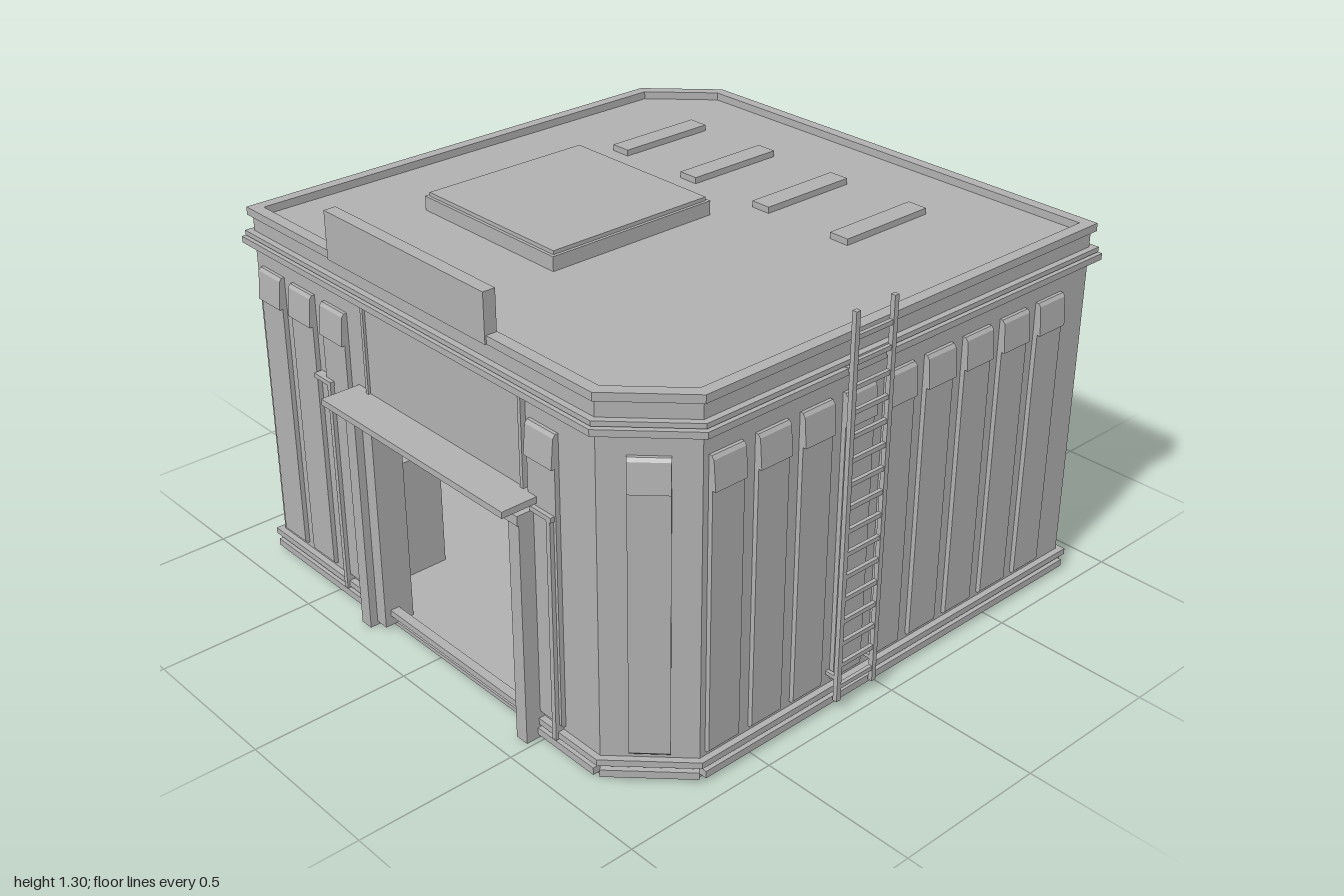
import * as THREE from 'three';

const grey = new THREE.MeshStandardMaterial({ color: 0xb0b0b0 });
grey.name = 'concrete grey';

// footprint limits and corner cut
const X0 = -0.83, X1 = 0.91, Z0 = -0.87, Z1 = 0.865, CUT = 0.19;

function add(parent, geometry, name) {
  const m = new THREE.Mesh(geometry, grey);
  m.name = name;
  parent.add(m);
  return m;
}

// box given by its limits
function box(parent, name, x0, x1, y0, y1, z0, z1) {
  const m = add(parent, new THREE.BoxGeometry(x1 - x0, y1 - y0, z1 - z0), name);
  m.position.set((x0 + x1) / 2, (y0 + y1) / 2, (z0 + z1) / 2);
  return m;
}

const poly = pts => pts.map(p => new THREE.Vector2(p[0], p[1]));

// footprint with two cut corners, grown by d
function outline(d) {
  const a = X0 - d, b = X1 + d, c = Z0 - d, e = Z1 + d, k = CUT + 0.586 * d;
  return poly([[a + k, c], [b, c], [b, e - k], [b - k, e], [a, e], [a, c + k]]);
}

// slab, or ring when inner is given, following the footprint
function layer(parent, name, y0, y1, outer, inner) {
  const s = new THREE.Shape(outline(outer));
  if (inner !== undefined) s.holes.push(new THREE.Path(outline(inner).reverse()));
  const g = new THREE.ExtrudeGeometry(s, { depth: y1 - y0, bevelEnabled: false });
  g.rotateX(Math.PI / 2);
  add(parent, g, name).position.y = y1;
}

// wall frame: local x runs along the wall, local z points outward
function wallGroup(parent, name, angle, x, z) {
  const g = new THREE.Group();
  g.name = name;
  g.rotation.y = angle;
  g.position.set(x, 0, z);
  parent.add(g);
  return g;
}

// wall sheet, notched for a doorway when door = [u0, u1, top]
function wall(g, u0, u1, door) {
  const p = [[u0, 0.01]];
  if (door) p.push([door[0], 0.01], [door[0], door[2]], [door[1], door[2]], [door[1], 0.01]);
  p.push([u1, 0.01], [u1, 1.12], [u0, 1.12]);
  const geo = new THREE.ExtrudeGeometry(new THREE.Shape(poly(p)), { depth: 0.05, bevelEnabled: false });
  add(g, geo, 'wall').position.z = -0.05;
  const runs = door ? [[u0, door[0]], [door[1], u1]] : [[u0, u1]];
  for (const r of runs) box(g, 'skirting', r[0], r[1], 0.012, 0.035, -0.01, 0.025);
}

// raised cladding panel with a sloped hood at its top
function panel(g, u, w = 0.113) {
  const s = new THREE.Shape(poly([[-0.005, 0.08], [0.008, 0.08], [0.015, 0.088], [0.015, 0.9],
    [0.026, 0.9], [0.018, 0.99], [0.01, 1.0], [-0.005, 1.0]]));
  const geo = new THREE.ExtrudeGeometry(s, { depth: w, bevelEnabled: false });
  geo.rotateY(-Math.PI / 2);
  add(g, geo, 'claddingPanel').position.set(u + w / 2, 0, 0);
}

// door surround: posts, lintel, canopy and edge trims
function doorway(g) {
  for (const [a, b] of [[-0.31, -0.265], [0.44, 0.485]]) box(g, 'doorPost', a, b, 0.0, 0.74, -0.06, 0.065);
  box(g, 'doorJamb', -0.265, -0.22, 0.012, 0.7, -0.06, 0.04);
  box(g, 'lintel', -0.31, 0.485, 0.71, 0.74, -0.05, 0.07);
  box(g, 'lintelUnderside', -0.265, 0.44, 0.685, 0.71, -0.06, 0.045);
  box(g, 'canopy', -0.325, 0.5, 0.765, 0.785, 0, 0.13);
  box(g, 'canopyBacking', -0.28, 0.455, 0.74, 0.765, 0, 0.04);
}

export function createModel() {
  const model = new THREE.Group();
  model.name = 'building';

  // floor, base rail, cornice and parapet
  layer(model, 'floor', 0, 0.013, 0);
  layer(model, 'baseRail', 0.045, 0.065, 0.02, -0.01);
  layer(model, 'corniceLower', 1.065, 1.085, 0.028, -0.03);
  layer(model, 'corniceUpper', 1.09, 1.105, 0.02, -0.03);
  layer(model, 'roofSlab', 1.08, 1.155, 0);
  layer(model, 'parapet', 1.155, 1.18, 0.012, -0.025);

  // front wall
  const front = wallGroup(model, 'frontWall', 0, 0, Z1);
  wall(front, X0, X1 - CUT, [-0.22, 0.44, 0.69]);
  doorway(front);
  for (const u of [-0.742, -0.582, -0.418, 0.521]) panel(front, u);
  box(front, 'headerPlate', -0.262, 0.44, 0.785, 1.07, 0, 0.008);
  for (const u of [-0.262, 0.44]) box(front, 'headerRib', u - 0.006, u + 0.006, 0.785, 1.07, 0, 0.016);
  for (const [a, b, v] of [[-0.52, -0.435, -0.445], [0.485, 0.572, 0.56]]) {
    box(front, 'conduitArm', a, b, 0.742, 0.757, 0, 0.028);
    box(front, 'conduit', v - 0.008, v + 0.008, 0.04, 0.757, 0, 0.028);
  }

  // left-hand wall on the -x side
  const side = wallGroup(model, 'doorSideWall', -Math.PI / 2, X0, 0);
  wall(side, Z0 + CUT, Z1, [-0.22, 0.44, 0.69]);
  doorway(side);
  for (const u of [-0.575, -0.4, 0.6, 0.77]) panel(side, u);
  box(side, 'headerPlate', -0.262, 0.44, 0.785, 1.07, 0, 0.008);
  box(side, 'junctionBox', -0.46, -0.4, 0.09, 0.165, 0, 0.04);

  // ladder wall on the +x side
  const right = wallGroup(model, 'ladderWall', Math.PI / 2, X1, 0);
  wall(right, -Z1 + CUT, -Z0);
  for (let i = 0; i < 9; i++) panel(right, -0.6 + i * 0.1617);
  const ladder = new THREE.Group();
  ladder.name = 'ladder';
  right.add(ladder);
  for (const u of [-0.181, -0.034]) {
    box(ladder, 'ladderRail', u - 0.008, u + 0.008, 0.03, 1.255, 0.033, 0.048);
    for (const y of [0.1, 1.075]) box(ladder, 'ladderBracket', u - 0.006, u + 0.006, y, y + 0.012, 0, 0.036);
  }
  for (let i = 0; i < 16; i++) {
    const y = 0.075 + i * 0.0735;
    box(ladder, 'rung', -0.181, -0.034, y - 0.007, y + 0.007, 0.034, 0.046);
  }

  // back wall (local x is -x here)
  const back = wallGroup(model, 'backWall', Math.PI, 0, Z0);
  wall(back, -X1, -X0 - CUT, [-0.415, 0.335, 0.69]);
  for (const u of [-0.825, -0.665]) panel(back, u);
  const portal = new THREE.Shape(poly([[-0.59, 0.013], [-0.415, 0.013], [-0.415, 0.655], [-0.38, 0.69],
    [0.3, 0.69], [0.335, 0.655], [0.335, 0.013], [0.51, 0.013], [0.51, 0.74], [0.345, 1.03],
    [-0.43, 1.03], [-0.59, 0.74]]));
  add(back, new THREE.ExtrudeGeometry(portal, { depth: 0.065, bevelEnabled: false }), 'portalFrame');
  for (const u of [-0.505, 0.42]) box(back, 'portalPilaster', u - 0.03, u + 0.03, 0.08, 0.66, 0.06, 0.086);
  box(back, 'canopy', -0.54, 0.28, 0.765, 0.785, 0.05, 0.13);

  // cut corners
  const corners = [[Math.PI / 4, X1 - CUT / 2, Z1 - CUT / 2], [Math.PI * 1.25, X0 + CUT / 2, Z0 + CUT / 2]];
  for (const [a, x, z] of corners) {
    const g = wallGroup(model, 'cornerWall', a, x, z);
    wall(g, -CUT * 0.707, CUT * 0.707);
    panel(g, 0);
  }

  // roof details
  box(model, 'roofHatch', -0.515, 0.08, 1.15, 1.2, -0.135, 0.465);
  box(model, 'roofHatchCap', -0.505, 0.07, 1.2, 1.212, -0.125, 0.455);
  for (const x of [-0.475, -0.16, 0.155, 0.472]) box(model, 'roofVent', x - 0.034, x + 0.034, 1.15, 1.175, -0.61, -0.27);
  box(model, 'signBoard', -0.41, 0.31, 1.155, 1.305, 0.842, 0.882);

  // interior furniture
  box(model, 'counter', 0.47, 0.62, 0.01, 0.22, -0.68, -0.4);
  box(model, 'crate', 0.48, 0.62, 0.01, 0.28, -0.34, -0.2);
  box(model, 'counterUnit', 0.5, 0.6, 0.22, 0.3, -0.62, -0.5);
  box(model, 'cabinet', -0.62, -0.4, 0.01, 0.42, 0.55, 0.78);

  return model;
}
